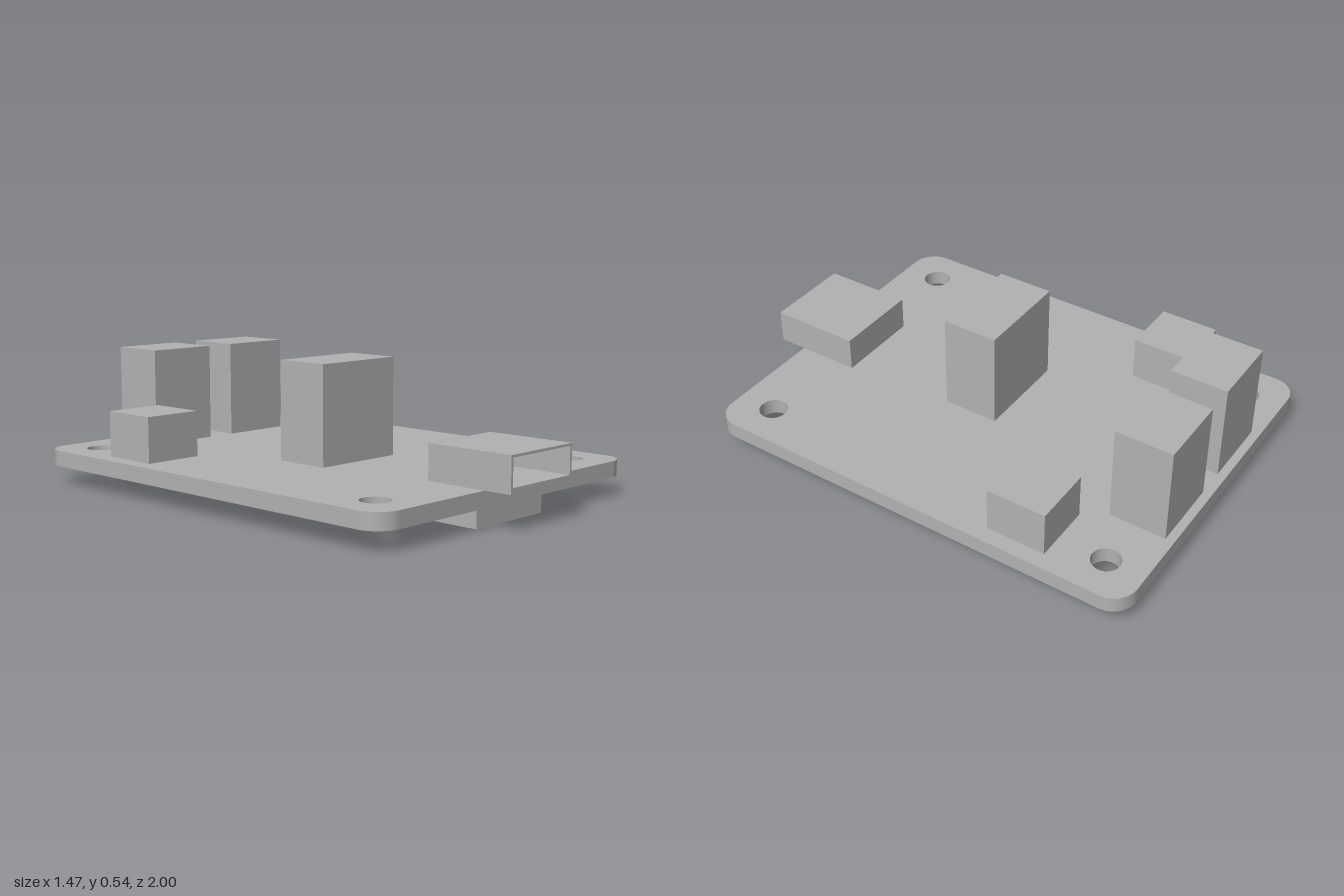
import * as THREE from 'three';

export function createModel() {
  const model = new THREE.Group();
  const grey = new THREE.MeshStandardMaterial({ color: 0xb2b2b2 });
  grey.name = 'plainGrey';

  const add = (name, geometry) => {
    const mesh = new THREE.Mesh(geometry, grey);
    mesh.name = name;
    model.add(mesh);
    return mesh;
  };
  // Box given by its limits on each axis
  const block = (name, [x0, x1], [y0, y1], [z0, z1]) =>
    add(name, new THREE.BoxGeometry(x1 - x0, y1 - y0, z1 - z0))
      .position.set((x0 + x1) / 2, (y0 + y1) / 2, (z0 + z1) / 2);

  const boardBottom = 0.077, boardTop = 0.142;

  // Board: rounded plate with four mounting holes, drawn in x and -z
  const w = 0.737, back = 1, front = -0.885, r = 0.1;
  const outline = new THREE.Shape();
  outline.absarc(w - r, back - r, r, 0, Math.PI / 2);
  outline.absarc(-w + r, back - r, r, Math.PI / 2, Math.PI);
  outline.absarc(-w + r, front + r, r, Math.PI, Math.PI * 1.5);
  outline.absarc(w - r, front + r, r, Math.PI * 1.5, Math.PI * 2);
  outline.closePath();
  for (const x of [-0.573, 0.573]) {
    for (const y of [0.837, -0.718]) {
      outline.holes.push(new THREE.Path().absarc(x, y, 0.058, 0, Math.PI * 2, true));
    }
  }
  const board = add('board', new THREE.ExtrudeGeometry(outline, {
    depth: boardTop - boardBottom, bevelEnabled: false, curveSegments: 16,
  }));
  board.rotation.x = -Math.PI / 2;
  board.position.y = boardBottom;

  // Mirrored pairs on top
  for (const [side, s] of [['left', 1], ['right', -1]]) {
    const span = (a, b) => (s > 0 ? [a, b] : [-b, -a]);
    block(side + 'TallConnector', span(0.061, 0.363), [boardTop, 0.543], [-0.964, -0.73]);
    block(side + 'SideConnector', span(0.425, 0.672), [boardTop, 0.327], [-0.637, -0.391]);
  }
  block('centreComponent', [-0.26, 0.143], [boardTop, 0.543], [-0.074, 0.16]);

  // Front socket: hollow shell open to the front, closed at the back
  const rect = (T, x0, y0, x1, y1) => new T([[x0, y0], [x1, y0], [x1, y1], [x0, y1], [x0, y0]]
    .map(([x, y]) => new THREE.Vector2(x, y)));
  const shell = rect(THREE.Shape, -0.184, boardTop, 0.182, 0.283);
  shell.holes.push(rect(THREE.Path, -0.173, 0.165, 0.171, 0.273));
  add('socketShell', new THREE.ExtrudeGeometry(shell, { depth: 0.355, bevelEnabled: false }))
    .position.z = 0.645;
  block('socketBack', [-0.184, 0.182], [boardTop, 0.283], [0.624, 0.645]);

  // Parts on the underside
  block('undersideBackHeader', [-0.307, 0.305], [0, boardBottom], [-0.882, -0.802]);
  block('undersideMiddleHeader', [-0.213, 0.085], [0, boardBottom], [0.011, 0.091]);
  block('undersideFrontConnector', [-0.197, 0.193], [0, boardBottom], [0.631, 0.861]);

  return model;
}
